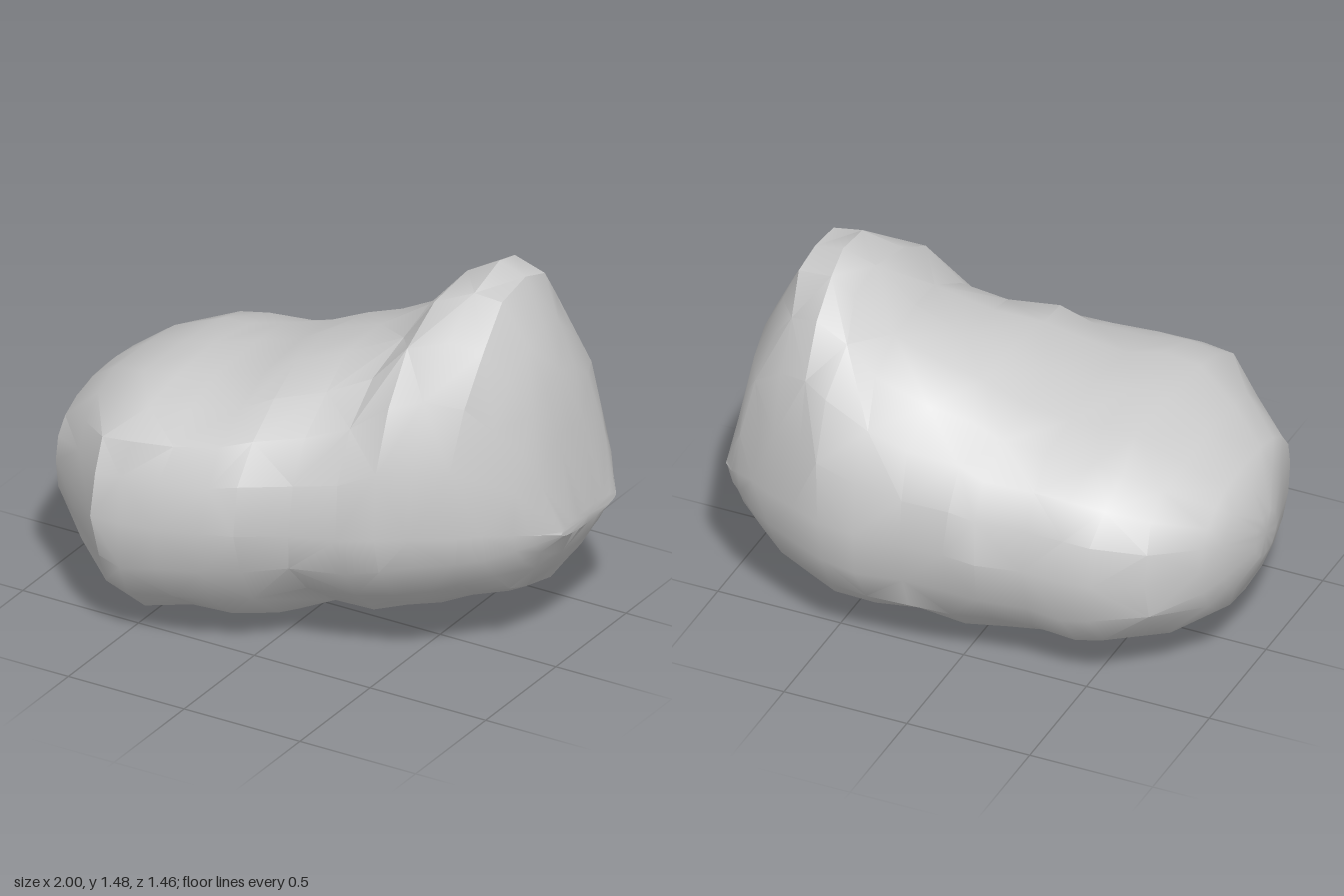
import * as THREE from 'three';
import { toCreasedNormals } from 'three/addons/utils/BufferGeometryUtils.js';

// Cross-sections along x: [x, bottom, top, back z, front z, widest y, z of crown, z of keel]
const SECTIONS = [
  [-1.00, 0.43, 0.60, -0.09, 0.09, 0.52, 0.00, 0.00],
  [-0.95, 0.32, 0.73, -0.28, 0.26, 0.54, -0.02, 0.00],
  [-0.90, 0.22, 0.78, -0.36, 0.43, 0.54, 0.00, 0.03],
  [-0.75, 0.13, 0.89, -0.53, 0.56, 0.53, 0.02, 0.06],
  [-0.57, 0.05, 0.96, -0.62, 0.73, 0.53, 0.06, 0.12],
  [-0.45, 0.00, 0.98, -0.63, 0.73, 0.53, 0.05, 0.13],
  [-0.30, 0.03, 1.00, -0.64, 0.72, 0.54, -0.02, 0.08],
  [-0.13, 0.03, 1.04, -0.69, 0.68, 0.55, -0.05, 0.04],
  [0.00, 0.02, 1.11, -0.69, 0.65, 0.56, -0.08, -0.08],
  [0.17, 0.06, 1.15, -0.70, 0.54, 0.56, -0.12, -0.18],
  [0.35, 0.05, 1.26, -0.72, 0.50, 0.57, -0.17, -0.20],
  [0.49, 0.09, 1.42, -0.73, 0.46, 0.59, -0.21, -0.24],
  [0.61, 0.13, 1.48, -0.69, 0.40, 0.60, -0.24, -0.26],
  [0.73, 0.18, 1.45, -0.64, 0.33, 0.60, -0.23, -0.27],
  [0.82, 0.21, 1.28, -0.59, 0.24, 0.60, -0.21, -0.26],
  [0.90, 0.32, 1.12, -0.54, 0.14, 0.58, -0.20, -0.24],
  [0.94, 0.39, 0.90, -0.51, 0.07, 0.56, -0.20, -0.23],
  [1.00, 0.50, 0.56, -0.43, -0.04, 0.53, -0.22, -0.22],
];
const SIDES = 20;

// Small seeded generator for the uneven, weathered surface
function seeded(seed) {
  return () => {
    seed = (seed * 16807) % 2147483647;
    return seed / 2147483647;
  };
}

// Corner roundness: boxy at the blunt low end, rounder towards the raised end
function roundness(x, front, upper) {
  const t = THREE.MathUtils.smoothstep(x, -0.5, 0.5);
  if (upper) return front ? 0.8 + 0.2 * t : 0.86 + 0.18 * t;
  return front ? 0.86 + 0.22 * t : 0.9;
}

function boulderGeometry() {
  const random = seeded(4711);
  const positions = [];
  const indices = [];
  const bend = (v, power) => Math.sign(v) * Math.pow(Math.abs(v), power);
  const last = SECTIONS.length - 1;

  SECTIONS.forEach(([x, y0, y1, z0, z1, yWide, zTop, zBottom], i) => {
    const inner = i > 2 && i < last - 2;
    for (let j = 0; j < SIDES; j++) {
      const a = (j / SIDES) * Math.PI * 2;
      const front = Math.cos(a) >= 0;
      const upper = Math.sin(a) >= 0;
      const power = roundness(x, front, upper);
      // Mild dents, only on the body and away from its outermost lines
      const dent = inner && j % 5 ? 1 + (random() - 0.5) * 0.045 : 1;
      const slide = inner && j % 5 ? (random() - 0.5) * 0.04 : 0;
      const c = bend(Math.cos(a), power) * dent;
      const s = bend(Math.sin(a), power) * dent;
      const zc = upper ? zTop : zBottom;
      const z = zc + (front ? z1 - zc : zc - z0) * c;
      const y = yWide + (upper ? y1 - yWide : yWide - y0) * s;
      positions.push(x + slide, Math.max(0, y), z);
    }
  });

  // Skin between neighbouring sections, alternating the diagonals
  for (let i = 0; i < last; i++) {
    for (let j = 0; j < SIDES; j++) {
      const k = (j + 1) % SIDES;
      const a = i * SIDES + j, b = a + SIDES;
      const d = i * SIDES + k, e = d + SIDES;
      if ((i + j) % 2) indices.push(a, b, d, b, e, d);
      else indices.push(a, b, e, a, e, d);
    }
  }

  // Close both ends, facing outwards
  for (const i of [0, last]) {
    const [x, , , z0, z1, yWide] = SECTIONS[i];
    const centre = positions.length / 3;
    positions.push(x, yWide, (z0 + z1) / 2);
    for (let j = 0; j < SIDES; j++) {
      const a = i * SIDES + j, b = i * SIDES + ((j + 1) % SIDES);
      if (i === last) indices.push(centre, b, a);
      else indices.push(centre, a, b);
    }
  }

  const geometry = new THREE.BufferGeometry();
  geometry.setAttribute('position', new THREE.Float32BufferAttribute(positions, 3));
  geometry.setIndex(indices);
  return toCreasedNormals(geometry, THREE.MathUtils.degToRad(30));
}

export function createModel() {
  const group = new THREE.Group();
  group.name = 'rock';
  const boulder = new THREE.Mesh(
    boulderGeometry(),
    new THREE.MeshStandardMaterial({ color: 0xcccccc })
  );
  boulder.name = 'boulder';
  group.add(boulder);
  return group;
}
